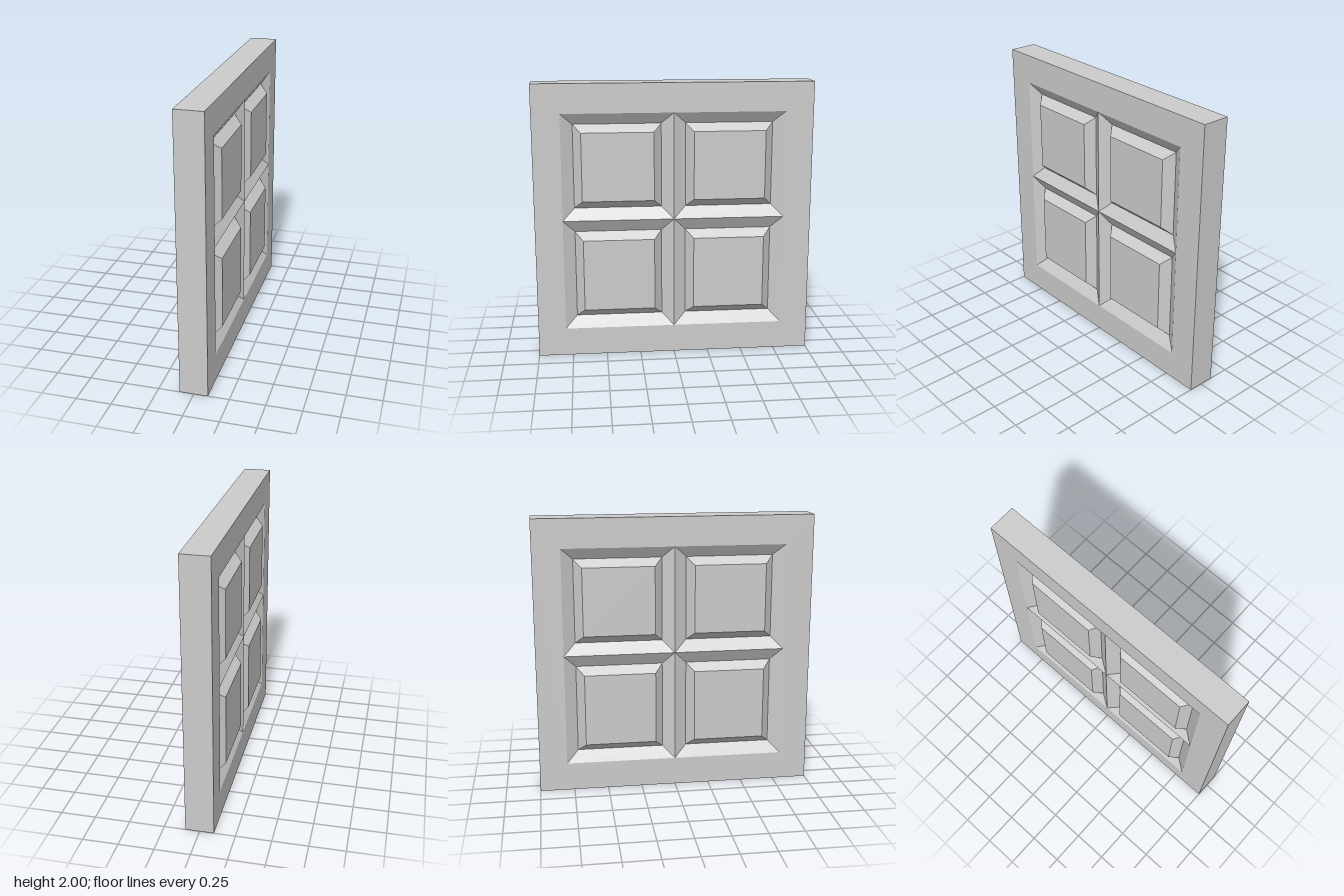
import * as THREE from 'three';

const HALF = 0.1; // half thickness of the slab
const GROOVE = 0.047; // x of the groove bottom
const FIELD = 0.11; // x of the raised field

// Joins rectangles [x, z0, z1, y0, y1] one after another with flat quads;
// the last one may be closed with a face towards +x.
function steppedGeometry(rects, capped) {
  const loops = rects.map(([x, z0, z1, y0, y1]) => [[x, y0, z1], [x, y0, z0], [x, y1, z0], [x, y1, z1]]);
  const pos = [];
  const quad = (a, b, c, d) => pos.push(...a, ...b, ...c, ...a, ...c, ...d);
  for (let k = 0; k + 1 < loops.length; k++) {
    for (let i = 0; i < 4; i++) {
      const j = (i + 1) % 4;
      quad(loops[k][i], loops[k][j], loops[k + 1][j], loops[k + 1][i]);
    }
  }
  if (capped) quad(...loops[loops.length - 1]);
  const geo = new THREE.BufferGeometry();
  geo.setAttribute('position', new THREE.Float32BufferAttribute(pos, 3));
  geo.computeVertexNormals();
  return geo;
}

export function createModel() {
  const material = new THREE.MeshStandardMaterial({ color: 0xcccccc, flatShading: true });
  const model = new THREE.Group();
  model.name = 'panelledDoor';
  const add = (parent, name, geo) => {
    const mesh = new THREE.Mesh(geo, material);
    mesh.name = name;
    parent.add(mesh);
  };

  // Outer frame: flat borders on both faces and the four edges
  const opening = [-0.8, 0.8, 0.205, 1.79];
  const outline = [-1, 1, 0, 2];
  add(model, 'frame', steppedGeometry(
    [[-HALF, ...opening], [-HALF, ...outline], [HALF, ...outline], [HALF, ...opening]], false));

  // Rows give heights of the opening, groove and raised field
  const rows = [
    { name: 'lower', y: [[0.205, 1.02], [0.29, 0.93], [0.348, 0.873]] },
    { name: 'upper', y: [[1.02, 1.79], [1.105, 1.71], [1.162, 1.655]] },
  ];
  const columns = [[0, 0.8], [0.087, 0.715], [0.143, 0.657]];
  const depths = [HALF, GROOVE, FIELD];

  // Raised panels; neighbouring bevels meet in the sharp crossing bars
  for (const face of ['left', 'right']) {
    const side = new THREE.Group();
    side.name = face + 'Face';
    if (face === 'right') side.rotation.y = Math.PI;
    for (const row of rows) {
      for (const s of [-1, 1]) {
        const rects = depths.map((x, i) => {
          const z = columns[i].map((v) => v * s).sort((a, b) => a - b);
          return [x, ...z, ...row.y[i]];
        });
        add(side, row.name + 'Panel', steppedGeometry(rects, true));
      }
    }
    model.add(side);
  }
  return model;
}
